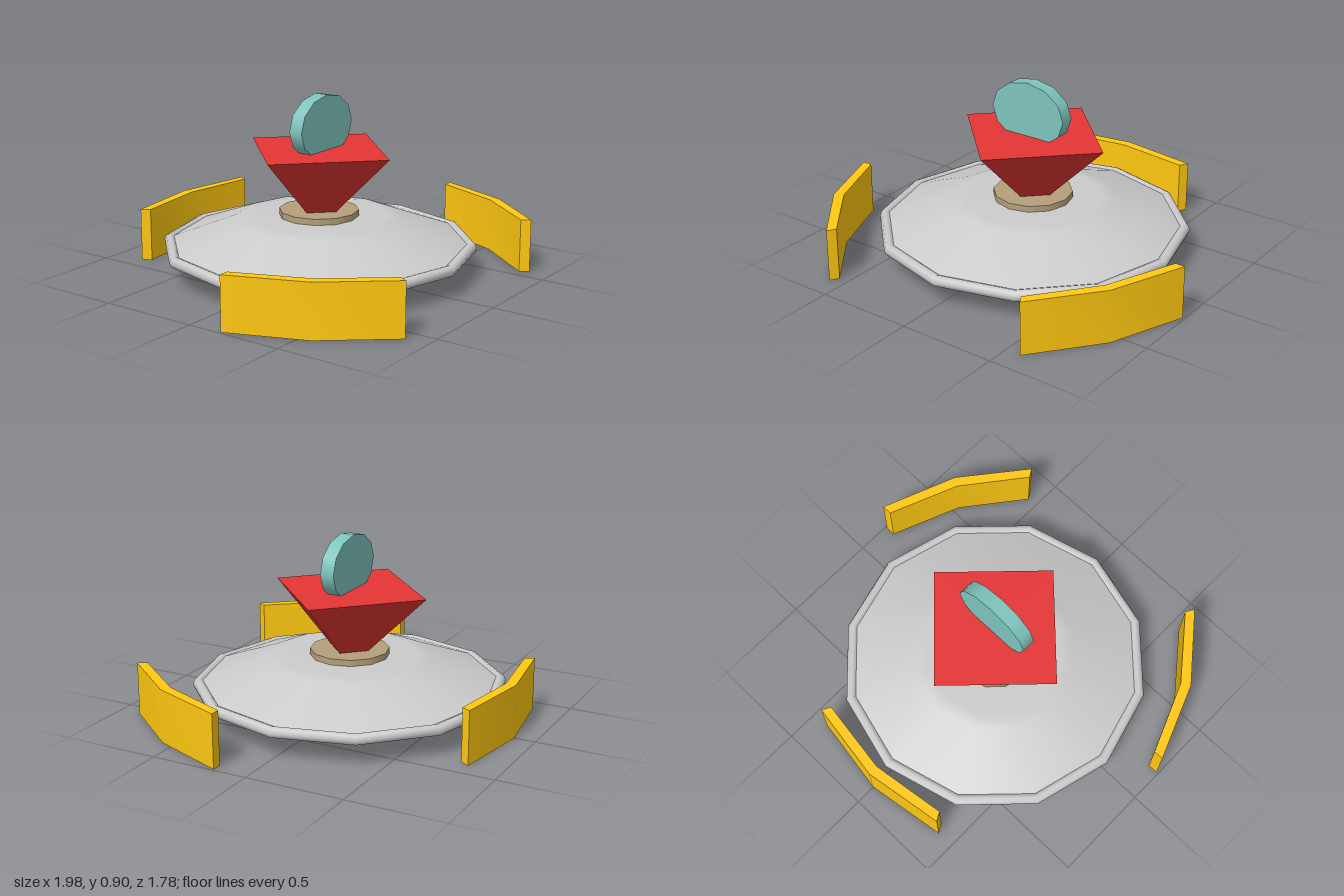
import * as THREE from 'three';
import { toCreasedNormals } from 'three/addons/utils/BufferGeometryUtils.js';

const material = (color, side = THREE.FrontSide) =>
  new THREE.MeshStandardMaterial({ color, side });

const grey = material(0xcccccc, THREE.DoubleSide);
const tan = material(0xb5a07c);
const red = material(0xe53535);
const teal = material(0x7fc4be);
const yellow = material(0xffc811);

function part(name, geometry, mat, x = 0, y = 0, z = 0) {
  const mesh = new THREE.Mesh(geometry, mat);
  mesh.name = name;
  mesh.position.set(x, y, z);
  return mesh;
}

// Twelve-sided shell from [radius, height] pairs
const shell = (profile) =>
  new THREE.LatheGeometry(profile.map(([r, y]) => new THREE.Vector2(r, y)), 12);

// Bent guard panel, drawn from above and extruded upwards
function guardGeometry() {
  const shape = new THREE.Shape([
    [-0.385, 0.862], [0, 0.917], [0.385, 0.862],
    [0.41, 0.907], [0, 0.97], [-0.41, 0.907],
  ].map(([x, y]) => new THREE.Vector2(x, y)));
  const geometry = new THREE.ExtrudeGeometry(shape, { depth: 0.27, bevelEnabled: false });
  geometry.rotateX(-Math.PI / 2);
  return toCreasedNormals(geometry, 0.6);
}

export function createModel() {
  const model = new THREE.Group();
  model.name = 'model';

  // Hollow saucer: sloped top, open underside, rounded rim
  const saucer = new THREE.Group();
  saucer.name = 'saucer';
  const rim = new THREE.TorusGeometry(0.762, 0.029, 8, 12).rotateX(Math.PI / 2);
  saucer.add(
    part('saucerTop', shell([[0.75, 0.15], [0.42, 0.275], [0.35, 0.286], [0, 0.286]]), grey),
    part('saucerUnderside', shell([[0.42, 0], [0.75, 0.118]]), grey),
    part('saucerRim', rim, grey, 0, 0.134, 0),
  );
  model.add(saucer);

  // Hub with an upturned square pyramid on it
  model.add(part('hub', new THREE.CylinderGeometry(0.2, 0.2, 0.045, 12), tan, 0, 0.295, 0));
  model.add(part('pyramid', new THREE.CylinderGeometry(0.417, 0.1, 0.313, 4), red, 0, 0.4685, 0));

  // Oval upright disc, sunk into the pyramid
  const disc = new THREE.CylinderGeometry(0.213, 0.213, 0.072, 12)
    .rotateX(Math.PI / 2)
    .scale(1, 0.75, 1);
  model.add(part('uprightDisc', disc, teal, 0, 0.742, 0.013));

  // Three guards around the saucer
  const guards = new THREE.Group();
  guards.name = 'guards';
  guards.position.z = 0.077;
  const guard = guardGeometry();
  ['backGuard', 'rightGuard', 'leftGuard'].forEach((name, i) => {
    const mesh = part(name, guard, yellow);
    mesh.rotation.y = (i * Math.PI * 2) / 3;
    guards.add(mesh);
  });
  model.add(guards);

  return model;
}
